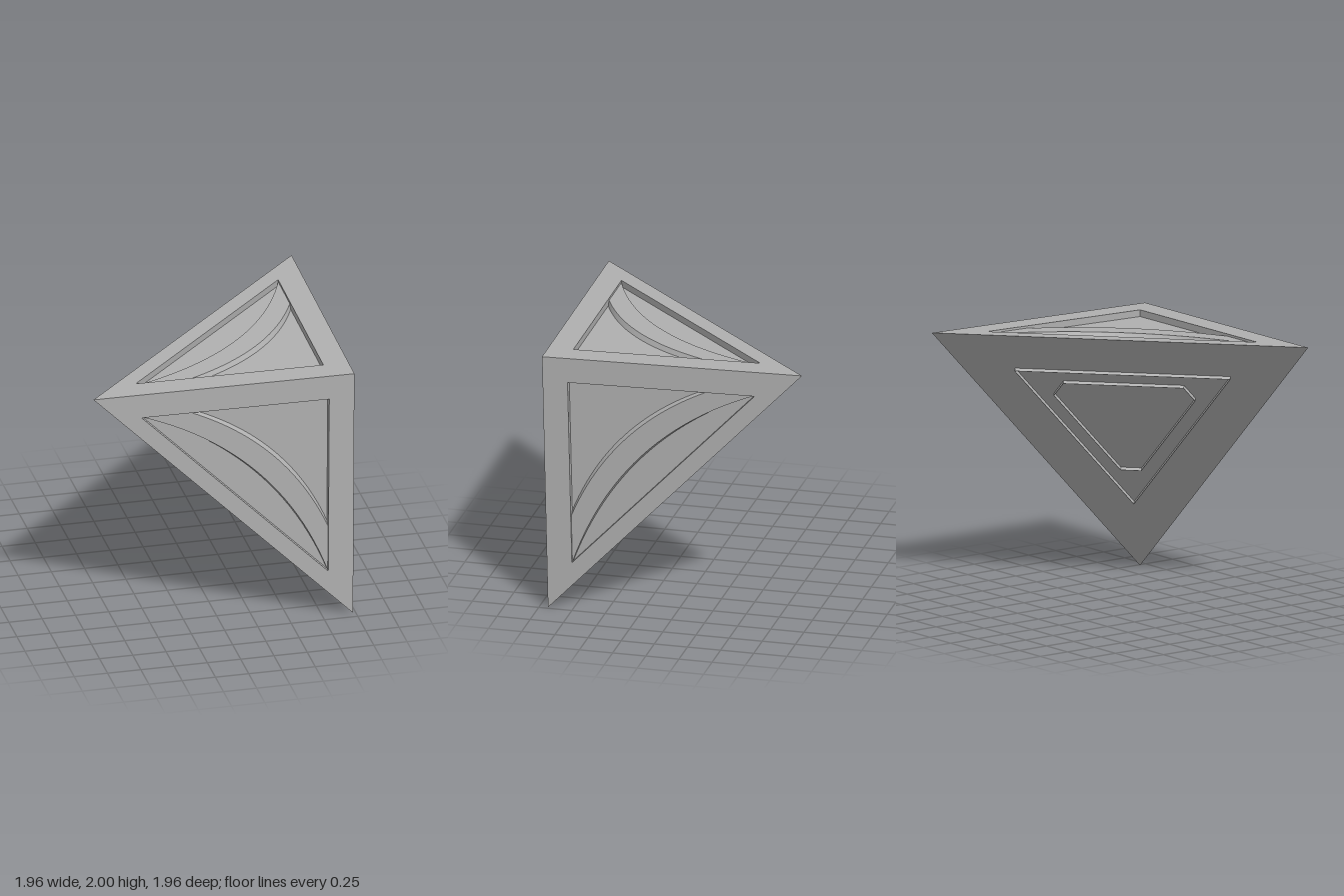
import * as THREE from 'three';

const V3 = (x, y, z) => new THREE.Vector3(x, y, z);
const V2 = (u, v) => new THREE.Vector2(u, v);

// Corners of the solid
const O = V3(0.98, 1.96, 0.98), A = V3(-0.98, 1.97, 0.98);
const B = V3(0.98, 0, 0.935), C = V3(0.98, 2, -0.98);

// Recess layout in face coordinates
const IN = 0.096, FAR = 0.815;
const FLOOR = -0.05, BAND = -0.017;

// Maps (u, v, height) on the face o-p-q to space; height is along the outward normal
function faceFrame(o, p, q) {
  const eu = p.clone().sub(o), ev = q.clone().sub(o);
  const n = eu.clone().cross(ev).normalize();
  return (u, v, h = 0) => o.clone().addScaledVector(eu, u).addScaledVector(ev, v).addScaledVector(n, h);
}

function finish(geometry) {
  const g = geometry.index ? geometry.toNonIndexed() : geometry;
  g.computeVertexNormals();
  return g;
}

// Flat panel in a face, at the given height
function panel(map, points, h, hole) {
  const shape = new THREE.Shape(points);
  if (hole) shape.holes.push(new THREE.Path(hole));
  const g = new THREE.ShapeGeometry(shape);
  const pos = g.attributes.position;
  for (let i = 0; i < pos.count; i++) {
    const p = map(pos.getX(i), pos.getY(i), h);
    pos.setXYZ(i, p.x, p.y, p.z);
  }
  return finish(g);
}

// Strip of quads joining two equal rows of points
function strip(map, rowA, hA, rowB, hB, closed) {
  const pts = [], n = rowA.length;
  for (let i = 0; i < (closed ? n : n - 1); i++) {
    const j = (i + 1) % n;
    const a = map(rowA[i].x, rowA[i].y, hA), b = map(rowA[j].x, rowA[j].y, hA);
    const c = map(rowB[j].x, rowB[j].y, hB), d = map(rowB[i].x, rowB[i].y, hB);
    pts.push(a, b, c, a, c, d);
  }
  return finish(new THREE.BufferGeometry().setFromPoints(pts));
}

// Symmetric arc from one leg of the recess to the other
const arc = (end, mid) =>
  new THREE.QuadraticBezierCurve(V2(end, IN), V2(mid, mid), V2(IN, end)).getPoints(24);

export function createModel() {
  const group = new THREE.Group();
  const grey = new THREE.MeshStandardMaterial({ color: 0xb0b0b0, side: THREE.DoubleSide });
  grey.name = 'grey';
  const add = (parent, name, geometry) => {
    const mesh = new THREE.Mesh(geometry, grey);
    mesh.name = name;
    parent.add(mesh);
  };

  // Three right-angled faces, each with a recess and a raised curved band
  const outline = [V2(0, 0), V2(1, 0), V2(0, 1)];
  const recess = [V2(IN, IN), V2(FAR, IN), V2(IN, FAR)];
  const inner = arc(0.63, 0.257), innerFoot = arc(0.615, 0.248);
  const outer = arc(FAR, 0.287), outerFoot = arc(FAR, 0.297);
  const sides = { frontFace: [A, B], sideFace: [B, C], topFace: [C, A] };
  for (const [name, [p, q]] of Object.entries(sides)) {
    const face = new THREE.Group();
    face.name = name;
    const map = faceFrame(O, p, q);
    add(face, 'rim', panel(map, outline, 0, recess));
    add(face, 'recessWall', strip(map, recess, FLOOR, recess, 0, true));
    add(face, 'recessFloor', panel(map, recess, FLOOR));
    add(face, 'curvedBand', strip(map, inner, BAND, outer, BAND));
    add(face, 'bandInnerEdge', strip(map, innerFoot, FLOOR, inner, BAND));
    add(face, 'bandOuterEdge', strip(map, outer, BAND, outerFoot, FLOOR));
    group.add(face);
  }

  // Sloping back face with two thin raised outlines
  const back = new THREE.Group();
  back.name = 'backFace';
  const map = faceFrame(C, B, A);
  add(back, 'backPanel', panel(map, outline, 0));
  const triangle = [V2(0.1425, 0.1425), V2(0.715, 0.1425), V2(0.1425, 0.715)];
  const L = 0.565, M = 0.245, S = 0.19;
  const hexagon = [V2(M, S), V2(L, S), V2(L, M), V2(M, L), V2(S, L), V2(S, M)];
  add(back, 'outerOutline', strip(map, triangle, 0, triangle, 0.03, true));
  add(back, 'innerOutline', strip(map, hexagon, 0, hexagon, 0.03, true));
  group.add(back);

  return group;
}
